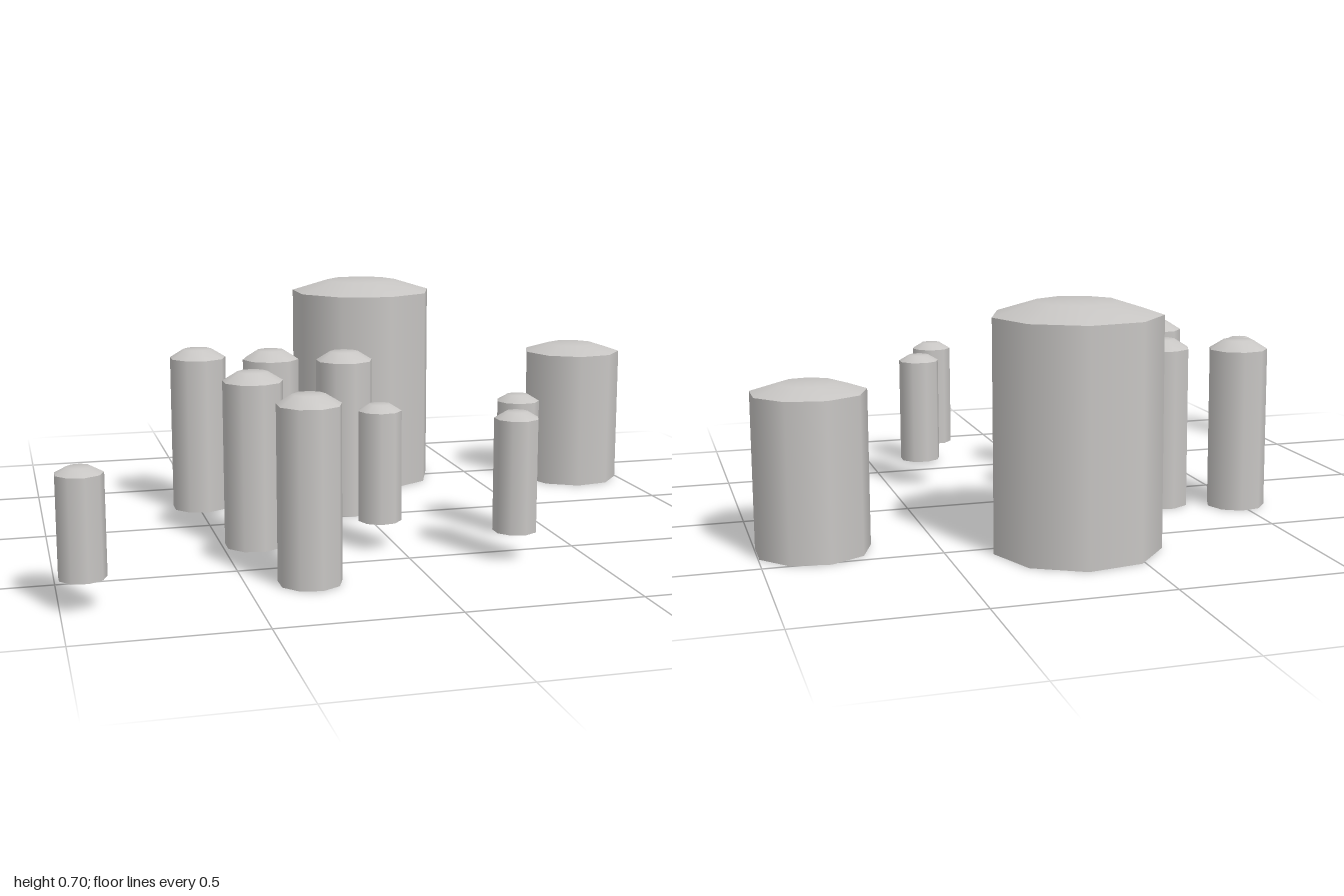
import * as THREE from 'three';
import { toCreasedNormals } from 'three/addons/utils/BufferGeometryUtils.js';

const SIDES = 9;

export function createModel() {
  const model = new THREE.Group();
  model.name = 'pillarCluster';
  const stone = new THREE.MeshStandardMaterial({ color: 0xc8c6c4, side: THREE.DoubleSide });
  stone.name = 'paleGrey';

  // Nine-sided pillar, open underneath, with a low bevelled cap half as wide as the shaft
  function addPillar(name, x, z, radius, bottom, shoulder, top, turned) {
    const start = turned ? -Math.PI / 2 : Math.PI / 2;
    const pillar = new THREE.Group();
    pillar.name = name;
    pillar.position.set(x, 0, z);

    const shaftHeight = shoulder - bottom;
    const shaft = new THREE.Mesh(
      new THREE.CylinderGeometry(radius, radius, shaftHeight, SIDES, 1, true, start), stone);
    shaft.name = 'shaft';
    shaft.position.y = bottom + shaftHeight / 2;

    const profile = [[radius, shoulder], [radius / 2, top], [0, top]]
      .map(([r, y]) => new THREE.Vector2(r, y));
    const cap = new THREE.Mesh(
      toCreasedNormals(new THREE.LatheGeometry(profile, SIDES, start), Math.PI / 5), stone);
    cap.name = 'cap';

    pillar.add(shaft, cap);
    model.add(pillar);
  }

  // Two large pillars at the back
  addPillar('tallPillar', 0.131, -0.554, 0.241, 0, 0.66, 0.697, false);
  addPillar('widePillar', 0.843, -0.356, 0.164, 0, 0.45, 0.475, true);

  // Five medium pillars: x, z, turned
  [
    [-0.492, -0.247, false], [-0.27, -0.162, true], [-0.049, -0.077, false],
    [-0.403, 0.244, false], [-0.325, 0.649, false],
  ].forEach(([x, z, turned], i) =>
    addPillar(`mediumPillar${i + 1}`, x, z, 0.09, 0, 0.492, 0.52, turned));

  // Four small raised pillars: x, z, shoulder, top, turned
  [
    [-0.939, 0.724, 0.358, 0.375, false], [-0.053, 0.368, 0.411, 0.43, true],
    [0.39, 0.319, 0.411, 0.43, true], [0.291, 0.577, 0.411, 0.43, false],
  ].forEach(([x, z, shoulder, top, turned], i) =>
    addPillar(`smallPillar${i + 1}`, x, z, 0.064, 0.084, shoulder, top, turned));

  return model;
}
